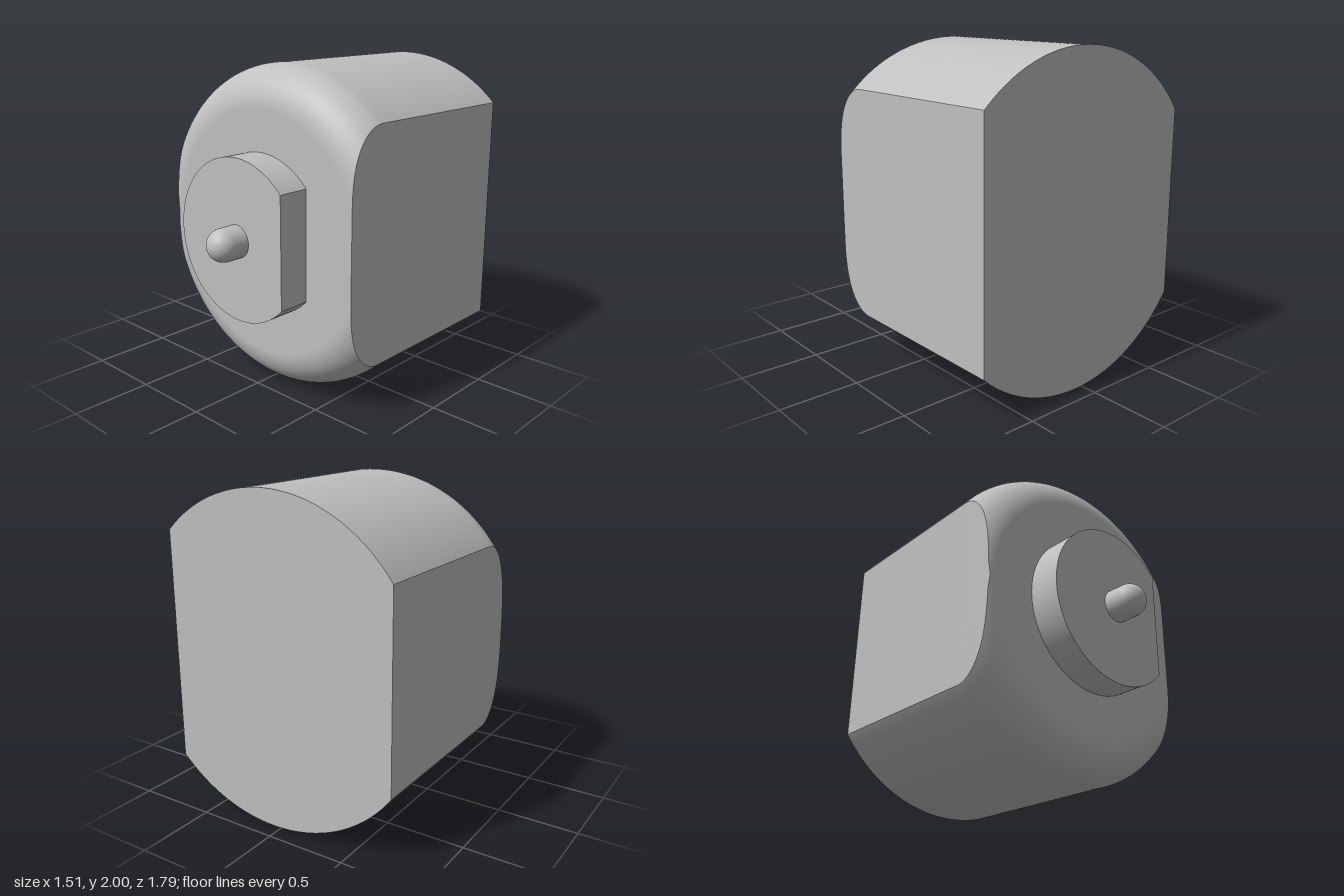
import * as THREE from 'three';

const CX = 0.055, CY = 1; // shared axis of all round parts

// Solid of round sections along z, sliced by vertical flats at
// axis offsets +right and -left. Profile rows: z, radius, normal z, normal radial.
function slicedRound(profile, right, left, segments) {
  const pos = [], nor = [], idx = [];
  const add = (p, n) => { pos.push(...p); nor.push(...n); return pos.length / 3 - 1; };
  const point = (a, [z, r]) => [CX + r * Math.cos(a), CY + r * Math.sin(a), z];
  const angles = ([, r]) => [
    Math.acos(Math.min(1, right / r)),
    Math.PI - Math.acos(Math.min(1, left / r)),
  ];

  // Skin between sections; range gives start and end angle for each section
  function strip(range, steps, normal) {
    const base = pos.length / 3, w = steps + 1;
    for (const row of profile) {
      const [a, b] = range(angles(row));
      for (let i = 0; i <= steps; i++) {
        const t = a + (b - a) * i / steps;
        add(point(t, row), normal || [row[3] * Math.cos(t), row[3] * Math.sin(t), row[2]]);
      }
    }
    for (let j = 0; j < profile.length - 1; j++) {
      for (let i = 0; i < steps; i++) {
        const p = base + j * w + i;
        idx.push(p, p + 1, p + w + 1, p, p + w + 1, p + w);
      }
    }
  }
  const maxR = Math.max(...profile.map((row) => row[1]));
  strip(([a, b]) => [a, b], segments);
  strip(([a, b]) => [2 * Math.PI - b, 2 * Math.PI - a], segments);
  if (right < maxR) strip(([a]) => [-a, a], 1, [1, 0, 0]);
  if (left < maxR) strip(([, b]) => [b, 2 * Math.PI - b], 1, [-1, 0, 0]);

  // Flat end faces
  function cap(row, dir) {
    const n = [0, 0, dir], [a, b] = angles(row), ring = [];
    const centre = add([CX, CY, row[0]], n);
    for (const [s, e] of [[a, b], [2 * Math.PI - b, 2 * Math.PI - a]]) {
      for (let i = 0; i <= segments; i++) ring.push(add(point(s + (e - s) * i / segments, row), n));
    }
    ring.forEach((p, i) => {
      const q = ring[(i + 1) % ring.length];
      if (dir > 0) idx.push(centre, p, q); else idx.push(centre, q, p);
    });
  }
  cap(profile[0], -1);
  cap(profile[profile.length - 1], 1);

  const g = new THREE.BufferGeometry();
  g.setAttribute('position', new THREE.Float32BufferAttribute(pos, 3));
  g.setAttribute('normal', new THREE.Float32BufferAttribute(nor, 3));
  g.setIndex(idx);
  return g;
}

export function createModel() {
  const group = new THREE.Group();
  const grey = new THREE.MeshStandardMaterial({ color: 0xc0c0c0 });
  grey.name = 'light grey';
  const add = (name, geometry) => {
    const mesh = new THREE.Mesh(geometry, grey);
    mesh.name = name;
    group.add(mesh);
    return mesh;
  };

  // Main housing: cylinder with a rounded front rim and two side flats
  const fillet = 0.25, front = 0.49;
  const housing = [[-0.895, 1, 0, 1]];
  for (let i = 0; i <= 24; i++) {
    const t = i / 24 * Math.PI / 2, s = Math.sin(t), c = Math.cos(t);
    housing.push([front - fillet + fillet * s, 1 - fillet + fillet * c, s, c]);
  }
  add('housing', slicedRound(housing, 0.7, 0.81, 64));

  // Raised boss with one flat
  add('boss', slicedRound([[front, 0.495, 0, 1], [0.693, 0.495, 0, 1]], 0.362, 0.495, 48));

  // Round-nosed pin
  const pin = [new THREE.Vector2(0.1, 0)];
  for (let i = 0; i <= 12; i++) {
    const t = i / 12 * Math.PI / 2;
    pin.push(new THREE.Vector2(i === 12 ? 0 : 0.1 * Math.cos(t), 0.102 + 0.1 * Math.sin(t)));
  }
  const pinMesh = add('pin', new THREE.LatheGeometry(pin, 40));
  pinMesh.rotation.x = Math.PI / 2;
  pinMesh.position.set(CX, CY, 0.693);

  return group;
}
